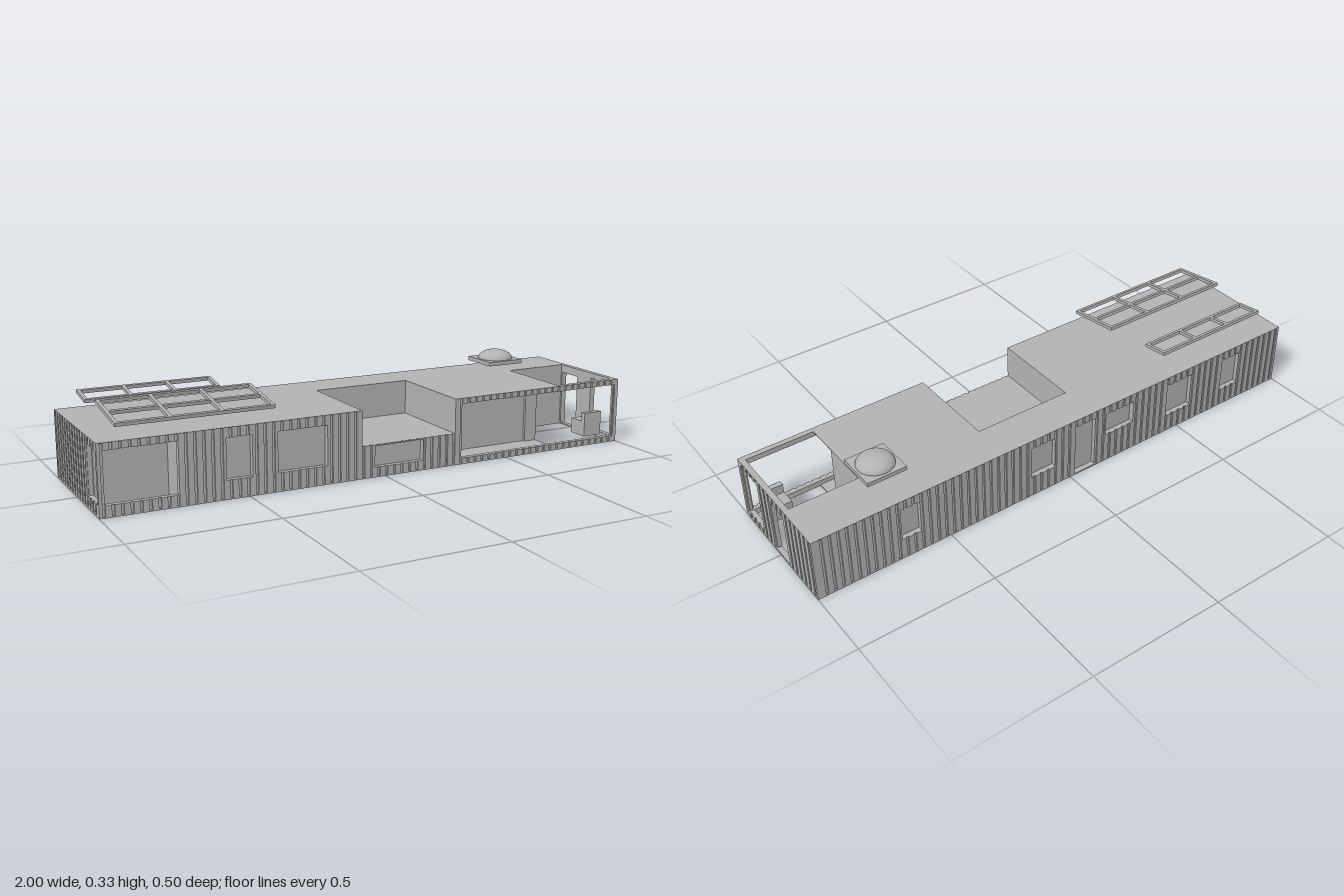
import * as THREE from 'three';
import { mergeGeometries } from 'three/addons/utils/BufferGeometryUtils.js';

const grey = new THREE.MeshStandardMaterial({ color: 0xb2b2b2 });
grey.name = 'plain grey';

const H = 0.24, SLAB = 0.005, ROOF = 0.237, GROOVE = 0.005, WALL = 0.015;

// box from its lower and upper corners
function box(x0, x1, y0, y1, z0, z1) {
  return new THREE.BoxGeometry(x1 - x0, y1 - y0, z1 - z0)
    .translate((x0 + x1) / 2, (y0 + y1) / 2, (z0 + z1) / 2);
}

function mesh(name, geometries) {
  const m = new THREE.Mesh(mergeGeometries(geometries), grey);
  m.name = name;
  return m;
}

// split the rectangle [a0, a1, b0, b1] into smaller ones that avoid all holes
function cutRect([a0, a1, b0, b1], holes) {
  const edges = holes.flatMap(h => [h[0], h[1]]).filter(a => a > a0 && a < a1);
  const cuts = [...new Set([a0, a1, ...edges])].sort((p, q) => p - q);
  const out = [];
  for (let i = 0; i + 1 < cuts.length; i++) {
    const mid = (cuts[i] + cuts[i + 1]) / 2;
    let b = b0;
    const inside = holes.filter(h => h[0] < mid && h[1] > mid).sort((p, q) => p[2] - q[2]);
    for (const h of inside) {
      if (h[2] > b) out.push([cuts[i], cuts[i + 1], b, Math.min(h[2], b1)]);
      b = Math.max(b, h[3]);
    }
    if (b < b1) out.push([cuts[i], cuts[i + 1], b, b1]);
  }
  return out;
}

// grooved wall: a backing sheet plus vertical planks, both cut by the openings
// place(a0, a1, y0, y1, d0, d1) makes a box, d being the depth behind the outer face
function groovedWall(name, half, firstGroove, openings, place) {
  const parts = [];
  const inset = half - GROOVE;
  for (const r of cutRect([-inset, inset, SLAB, ROOF], openings)) {
    parts.push(place(...r, GROOVE, GROOVE + WALL));
  }
  let start = -half;
  for (let g = firstGroove; start < half; g += 0.03) {
    const end = g + 0.0045 < half ? g - 0.0045 : half;
    for (const r of cutRect([start, end, SLAB, ROOF], openings)) parts.push(place(...r, 0, GROOVE));
    start = end === half ? half : g + 0.0045;
  }
  return mesh(name, parts);
}

// tilted open rack with a grid of bars
function roofRack(name, x0, x1, zBack, zFront, yBack, yFront, rows) {
  const w = x1 - x0, dz = zFront - zBack, dy = yBack - yFront;
  const len = Math.hypot(dz, dy), t = 0.012;
  const parts = [];
  for (let i = 0; i <= 3; i++) {
    const x = -w / 2 + t / 2 + (w - t) * i / 3;
    parts.push(box(x - t / 2, x + t / 2, -t / 2, t / 2, -len / 2, len / 2));
  }
  for (let j = 0; j <= rows; j++) {
    const z = -len / 2 + t / 2 + (len - t) * j / rows;
    parts.push(box(-w / 2, w / 2, -t / 2, t / 2, z - t / 2, z + t / 2));
  }
  const rack = mesh(name, parts);
  rack.rotation.x = Math.atan2(dy, dz);
  rack.position.set((x0 + x1) / 2, (yBack + yFront) / 2, (zBack + zFront) / 2);
  return rack;
}

export function createModel() {
  const house = new THREE.Group();
  house.name = 'longHouse';

  // openings in plan: [x0, x1, z0, z1]
  const courtyard = [0.73, 0.98, -0.07, 0.23];
  const terrace = [-0.09, 0.28, -0.10, 0.25];
  const porch = [0.295, 0.68, 0.10, 0.23];
  const porchEnd = [0.68, 0.73, 0.11, 0.23];
  const cornerRoom = [-0.98, -0.735, 0.13, 0.23];

  // floor, roof and the inner rooms
  const plan = [-1, 1, -0.25, 0.25];
  const slab = (y0, y1) => ([x0, x1, z0, z1]) => box(x0, x1, y0, y1, z0, z1);
  house.add(mesh('floor', cutRect(plan, [courtyard]).map(slab(0, SLAB))));
  house.add(mesh('roof', cutRect(plan, [courtyard, terrace]).map(slab(ROOF, H))));
  house.add(mesh('rooms', cutRect([-0.98, 0.98, -0.23, 0.23],
    [courtyard, terrace, porch, porchEnd, cornerRoom]).map(slab(SLAB, ROOF))));

  // sunken terrace deck, kept behind the window below it
  house.add(mesh('terraceDeck', [
    box(-0.09, 0.28, SLAB, 0.115, -0.10, 0.23),
    box(-0.09, 0.28, 0.11, 0.115, 0.23, 0.245),
  ]));

  // walls; openings are [along0, along1, y0, y1]
  const front = [
    [-0.985, -0.74, 0.04, 0.215], [-0.58, -0.49, 0.065, 0.205],
    [-0.40, -0.22, 0.065, 0.205], [-0.04, 0.15, 0.035, 0.11],
    [-0.09, 0.28, 0.115, H], [0.31, 0.985, 0.022, 0.22],
  ];
  const back = [
    [0.61, 0.685, 0.08, 0.205], [0.066, 0.167, 0.08, 0.205],
    [-0.11, -0.02, SLAB, 0.21], [-0.28, -0.155, 0.115, 0.205],
    [-0.56, -0.445, 0.07, 0.205], [-0.80, -0.71, 0.07, 0.205],
  ];
  const left = [[0.115, 0.236, 0.022, 0.22], [-0.063, 0.032, SLAB, 0.21]];
  const right = [[0.125, 0.236, 0.04, 0.215]];
  house.add(groovedWall('frontWall', 1, -0.9845, front,
    (a0, a1, y0, y1, d0, d1) => box(a0, a1, y0, y1, 0.25 - d1, 0.25 - d0)));
  house.add(groovedWall('backWall', 1, -0.9845, back,
    (a0, a1, y0, y1, d0, d1) => box(a0, a1, y0, y1, -0.25 + d0, -0.25 + d1)));
  house.add(groovedWall('leftWall', 0.25, -0.2345, left,
    (a0, a1, y0, y1, d0, d1) => box(1 - d1, 1 - d0, y0, y1, a0, a1)));
  house.add(groovedWall('rightWall', 0.25, -0.2345, right,
    (a0, a1, y0, y1, d0, d1) => box(-1 + d0, -1 + d1, y0, y1, a0, a1)));

  // racks floating above the roof
  house.add(roofRack('largeRoofRack', -0.935, -0.40, 0.027, 0.235, 0.318, 0.286, 2));
  house.add(roofRack('smallRoofRack', -0.935, -0.46, -0.197, -0.098, 0.306, 0.291, 1));

  // skylight
  house.add(mesh('skylightBase', [box(0.602, 0.748, 0.277, 0.292, -0.167, -0.02)]));
  const dome = new THREE.Mesh(
    new THREE.SphereGeometry(0.065, 40, 14, 0, Math.PI * 2, 0, Math.PI / 2), grey);
  dome.name = 'skylightDome';
  dome.scale.y = 0.52;
  dome.position.set(0.675, 0.292, -0.093);
  house.add(dome);

  // courtyard seat
  house.add(mesh('seat', [
    box(0.882, 0.958, 0.022, 0.078, 0.132, 0.21),
    box(0.882, 0.958, 0.078, 0.112, 0.19, 0.21),
  ]));
  return house;
}
